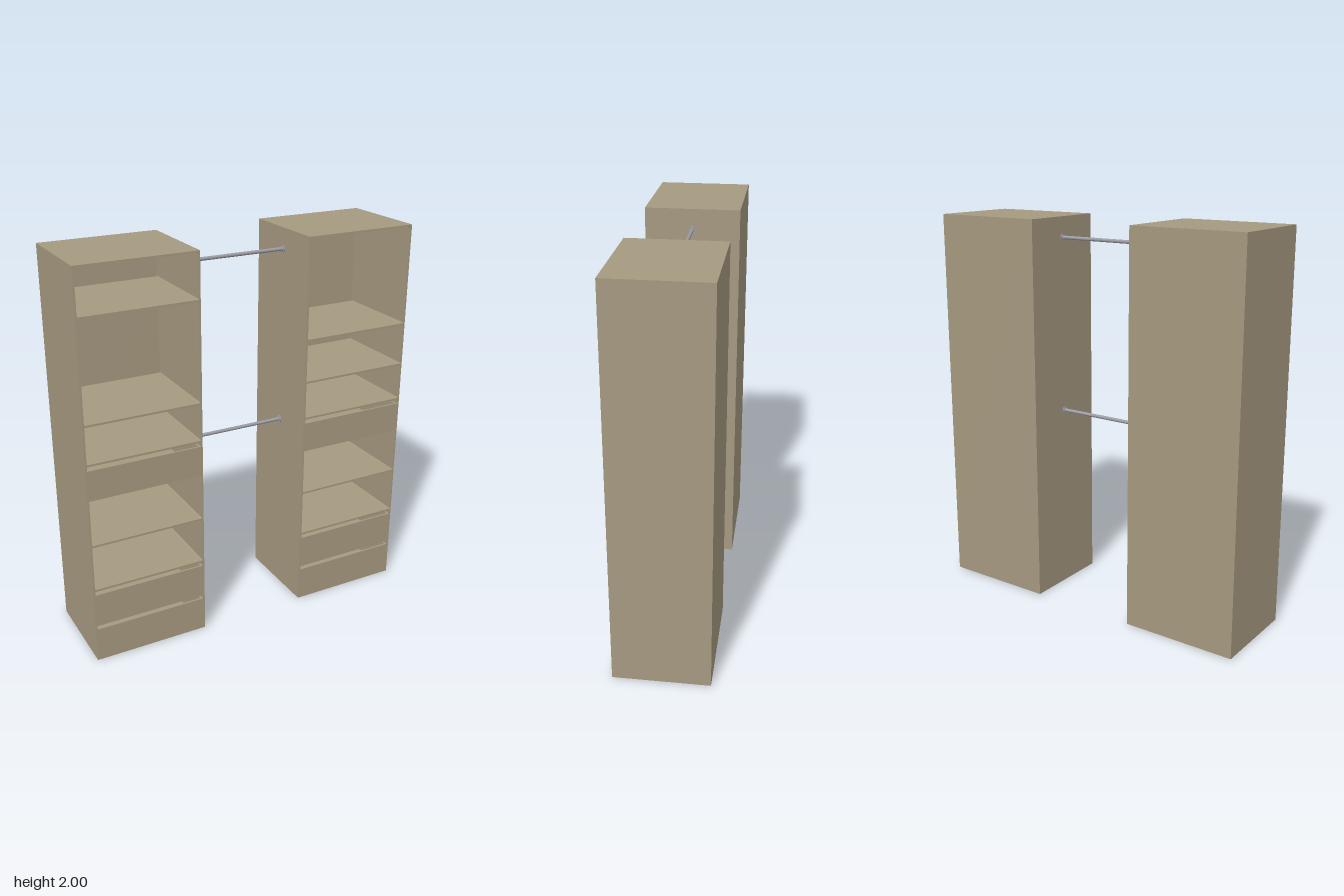
import * as THREE from 'three';

const wood = new THREE.MeshStandardMaterial({ color: 0xa59980 });
wood.name = 'beigeBoard';
const metal = new THREE.MeshStandardMaterial({ color: 0x9b9ba2 });
metal.name = 'greyMetal';

// Cabinet extents
const INNER = 0.286, OUTER = 0.883, HEIGHT = 2, DEPTH = 0.48, WALL = 0.009, BACK = 0.012;
const WIDTH = OUTER - INNER, CENTRE = (OUTER + INNER) / 2;
const INSIDE = WIDTH - 2 * WALL;

function box(name, w, h, d, x, y, z) {
  const mesh = new THREE.Mesh(new THREE.BoxGeometry(w, h, d), wood);
  mesh.name = name;
  mesh.position.set(x, y, z);
  return mesh;
}

// Opening with slightly eased corners
function opening(y0, y1) {
  const x = INSIDE / 2, r = 0.006, p = new THREE.Path();
  p.moveTo(-x + r, y0);
  p.lineTo(x - r, y0);
  p.quadraticCurveTo(x, y0, x, y0 + r);
  p.lineTo(x, y1 - r);
  p.quadraticCurveTo(x, y1, x - r, y1);
  p.lineTo(-x + r, y1);
  p.quadraticCurveTo(-x, y1, -x, y1 - r);
  p.lineTo(-x, y0 + r);
  p.quadraticCurveTo(-x, y0, -x + r, y0);
  return p;
}

// Drawer open at the top, its front flush with the cabinet
function drawer(y0, y1) {
  const g = new THREE.Group();
  g.name = 'drawer';
  const t = 0.01, h = y1 - y0, d = DEPTH - BACK, y = (y0 + y1) / 2, zMid = BACK / 2;
  g.add(box('drawerFront', INSIDE, h, t, 0, y, DEPTH / 2 - t / 2));
  g.add(box('drawerBottom', INSIDE, t, d - t, 0, y0 + t / 2, zMid - t / 2));
  g.add(box('drawerBack', INSIDE, h - t, t, 0, y + t / 2, -DEPTH / 2 + BACK + t / 2));
  for (const s of [-1, 1]) {
    g.add(box('drawerSide', t, h - t, d - 2 * t, s * (INSIDE - t) / 2, y + t / 2, zMid));
  }
  return g;
}

// Carcass with shelves, back panel and three drawers
function cabinet(name, x, shelfY) {
  const g = new THREE.Group();
  g.name = name;
  const shape = new THREE.Shape();
  shape.moveTo(-WIDTH / 2, 0);
  shape.lineTo(WIDTH / 2, 0);
  shape.lineTo(WIDTH / 2, HEIGHT);
  shape.lineTo(-WIDTH / 2, HEIGHT);
  const bays = [[0.01, 0.397], [0.408, 0.642], [0.652, 1.067], [1.077, 1.262],
    [1.272, shelfY - 0.005], [shelfY + 0.005, 1.99]];
  for (const [a, b] of bays) shape.holes.push(opening(a, b));
  const geo = new THREE.ExtrudeGeometry(shape, { depth: DEPTH - BACK, bevelEnabled: false, curveSegments: 3 });
  const carcass = new THREE.Mesh(geo, wood);
  carcass.name = 'carcassAndShelves';
  carcass.position.z = -DEPTH / 2 + BACK;
  g.add(carcass);
  g.add(box('backPanel', WIDTH, HEIGHT, BACK, 0, HEIGHT / 2, -DEPTH / 2 + BACK / 2));
  g.add(drawer(0.01, 0.179), drawer(0.2, 0.376), drawer(0.89, 1.045));
  g.position.x = x;
  return g;
}

// Hanging rail with a round flange against each cabinet
function rail(name, y) {
  const g = new THREE.Group();
  g.name = name;
  const add = (part, r, len, x) => {
    const m = new THREE.Mesh(new THREE.CylinderGeometry(r, r, len, 24), metal);
    m.name = part;
    m.rotation.z = Math.PI / 2;
    m.position.x = x;
    g.add(m);
  };
  add('rod', 0.009, 2 * INNER, 0);
  for (const s of [-1, 1]) {
    add('flange', 0.019, 0.005, s * (INNER - 0.0025));
    add('collar', 0.012, 0.014, s * (INNER - 0.007));
  }
  g.position.y = y;
  return g;
}

export function createModel() {
  const model = new THREE.Group();
  model.name = 'wardrobeUnit';
  model.add(cabinet('rightCabinet', -CENTRE, 1.77));
  model.add(cabinet('leftCabinet', CENTRE, 1.487));
  model.add(rail('upperRail', 1.895), rail('lowerRail', 0.985));
  return model;
}
